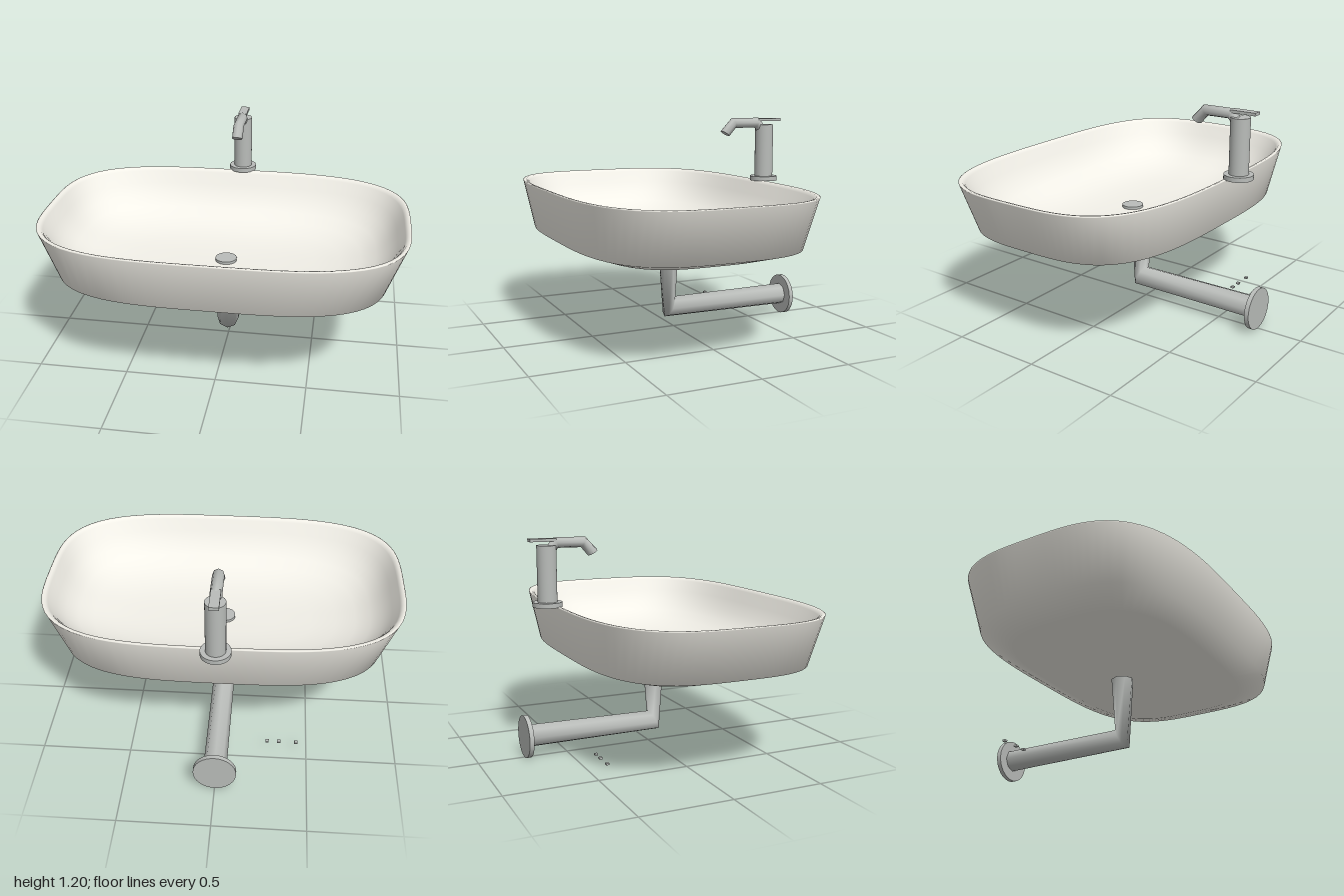
import * as THREE from 'three';

const ceramic = new THREE.MeshStandardMaterial({ color: 0xf2f0e8, side: THREE.DoubleSide });
const metal = new THREE.MeshStandardMaterial({ color: 0xb9bcb9 });

// Skin a stack of closed rings (arrays of Vector3) with smooth normals
function loft(rings) {
  const n = rings[0].length, index = [];
  for (let j = 0; j < rings.length - 1; j++) {
    for (let i = 0; i < n; i++) {
      const a = j * n + i, b = j * n + (i + 1) % n;
      index.push(a, a + n, b, b, a + n, b + n);
    }
  }
  const geo = new THREE.BufferGeometry().setFromPoints(rings.flat());
  geo.setIndex(index);
  geo.computeVertexNormals();
  return geo;
}

// Rounded-rectangle ring: superellipse with half sizes a, b and exponent n
function basinRing(a, b, y, n = 3.4, segments = 96) {
  return Array.from({ length: segments }, (_, i) => {
    const t = (i / segments) * Math.PI * 2, c = Math.cos(t), s = Math.sin(t);
    const r = Math.pow(Math.abs(c) ** n + Math.abs(s) ** n, -1 / n);
    return new THREE.Vector3(a * r * c, y, b * r * s);
  });
}

// Capped pipe in the x = 0 plane; stations are [z, y, tangentZ, tangentY]
function pipe(stations, radius, segments = 8) {
  const ring = ([z, y, tz, ty], r) => {
    const X = new THREE.Vector3(1, 0, 0);
    const U = new THREE.Vector3().crossVectors(X, new THREE.Vector3(0, ty, tz).normalize());
    return Array.from({ length: segments }, (_, i) => {
      const t = (i / segments) * Math.PI * 2;
      return new THREE.Vector3(0, y, z).addScaledVector(X, r * Math.cos(t)).addScaledVector(U, r * Math.sin(t));
    });
  };
  const first = stations[0], last = stations[stations.length - 1];
  return loft([
    ring(first, 0), ring(first, radius),
    ...stations.map(s => ring(s, radius)),
    ring(last, radius), ring(last, 0),
  ]);
}

export function createModel() {
  const model = new THREE.Group();
  const add = (name, geo, mat, x, y, z) => {
    const mesh = new THREE.Mesh(geo, mat);
    mesh.name = name;
    mesh.position.set(x, y, z);
    model.add(mesh);
    return mesh;
  };
  const disc = (r, h, segments = 32) => new THREE.CylinderGeometry(r, r, h, segments);

  // Basin: underside, outer wall, thin rolled rim, dished inside, floor
  const profile = [
    [0, 0, 0.502], [0.4, 0.26, 0.502], [0.72, 0.47, 0.502],
    [0.9, 0.6, 0.553], [0.998, 0.649, 0.825],
    [1, 0.65, 0.83], [0.994, 0.645, 0.833], [0.98, 0.632, 0.83], [0.968, 0.62, 0.815],
    [0.935, 0.59, 0.75, 3.3], [0.89, 0.55, 0.685, 3.2], [0.83, 0.5, 0.633, 3.1],
    [0.75, 0.435, 0.594, 3], [0.64, 0.355, 0.565, 2.9], [0.5, 0.265, 0.548, 2.8],
    [0.3, 0.155, 0.539, 2.6], [0, 0, 0.537],
  ];
  add('basin', loft(profile.map(p => basinRing(...p))), ceramic, 0, 0, 0.095);
  add('drainCover', disc(0.06, 0.016), metal, 0, 0.545, 0.095);

  // Tap
  add('tapFlange', disc(0.08, 0.026), metal, 0, 0.842, -0.592);
  add('tapColumn', disc(0.053, 0.303), metal, 0, 1.0065, -0.592);
  add('tapSpout', pipe([
    [-0.575, 1.125, 0.5, 0.8],
    [-0.54, 1.17, 0.9, 0.4],
    [-0.385, 1.169, 0.9, -0.4],
    [-0.33, 1.11, 0.5, -0.8],
  ], 0.031), metal, 0, 0, 0);
  add('tapLever', new THREE.BoxGeometry(0.05, 0.016, 0.145), metal, 0, 1.186, -0.615);

  // Waste pipe with its wall plate
  add('wastePipe', pipe([
    [0.031, 0.47, 0, -1],
    [0.03, 0.12, -0.9, -0.42],
    [-0.73, 0.12, -1, 0],
  ], 0.063), metal, 0, 0, 0);
  add('wallPlate', disc(0.117, 0.025), metal, 0, 0.118, -0.732).rotation.x = Math.PI / 2;

  // Small loose studs beside the pipe
  for (const x of [-0.44, -0.343, -0.277]) {
    add('stud', new THREE.BoxGeometry(0.018, 0.01, 0.018), metal, x, 0.06, -0.43);
  }
  return model;
}
